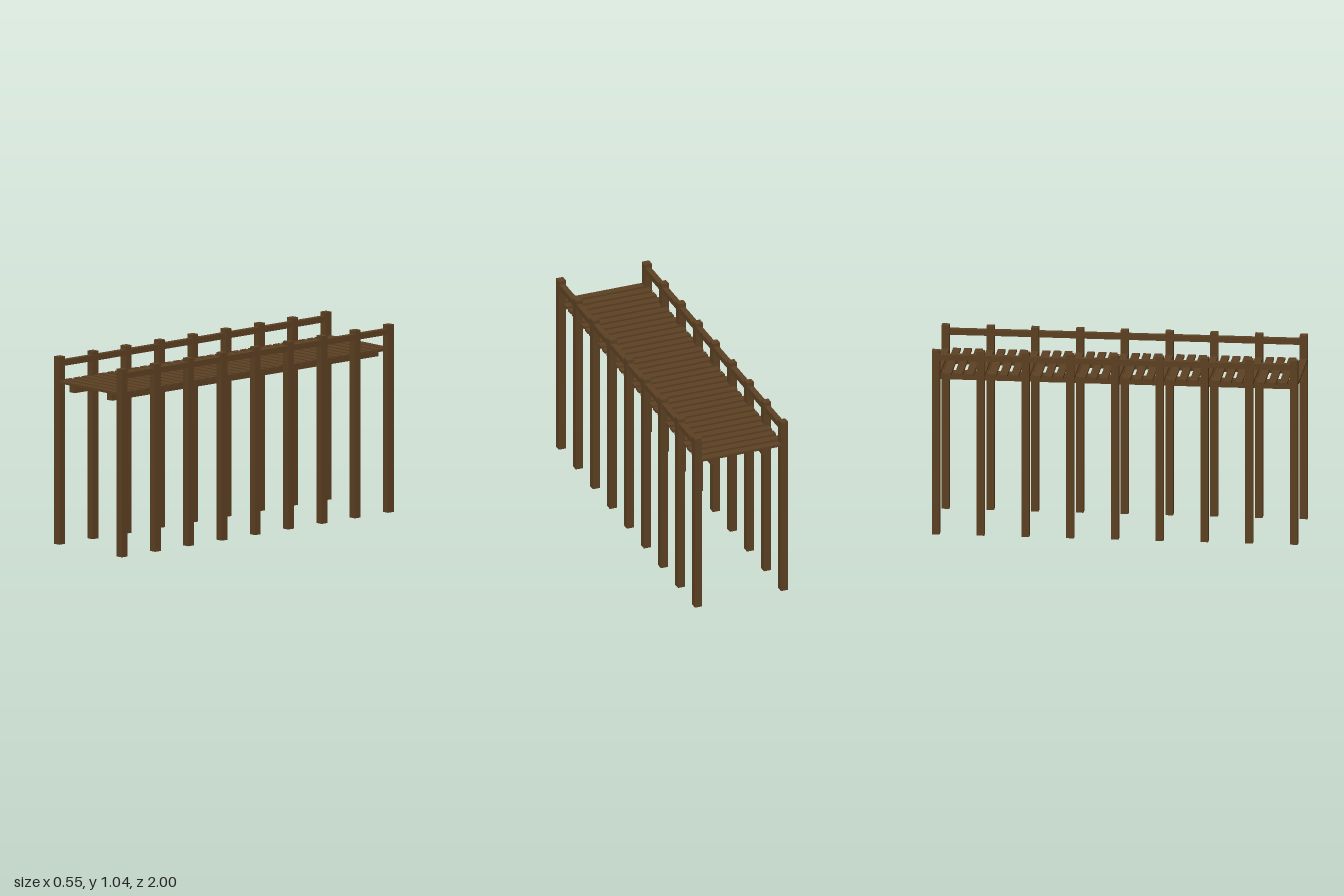
import * as THREE from 'three';

export function createModel() {
  const model = new THREE.Group();
  model.name = 'woodenWalkway';
  const wood = new THREE.MeshStandardMaterial({ color: 0x5c4022, flatShading: true });

  const beam = (name, w, h, d, x, y, z) => {
    const mesh = new THREE.Mesh(new THREE.BoxGeometry(w, h, d), wood);
    mesh.name = name;
    mesh.position.set(x, y, z);
    model.add(mesh);
  };

  const bays = 8, planksPerBay = 4;
  const end = 0.979; // z of the end posts
  const postX = 0.2525, size = 0.042;

  for (const side of [-1, 1]) {
    const label = side > 0 ? 'left' : 'right';

    // Posts
    for (let i = 0; i <= bays; i++) {
      beam(`${label}Post${i + 1}`, size, 1.038, size, side * postX, 0.519, -end + (2 * end * i) / bays);
    }

    // Handrail running through the posts
    beam(`${label}Handrail`, 0.032, 0.032, 2 * end, side * postX, 1.0, 0);

    // Joist under the deck
    beam(`${label}Joist`, size, 0.043, 2 * end, side * 0.151, 0.8715, 0);
  }

  // Deck planks, four to each bay
  const steps = bays * planksPerBay;
  for (let i = 0; i <= steps; i++) {
    beam(`plank${i + 1}`, 0.505, 0.014, size, 0, 0.9, -end + (2 * end * i) / steps);
  }

  return model;
}
